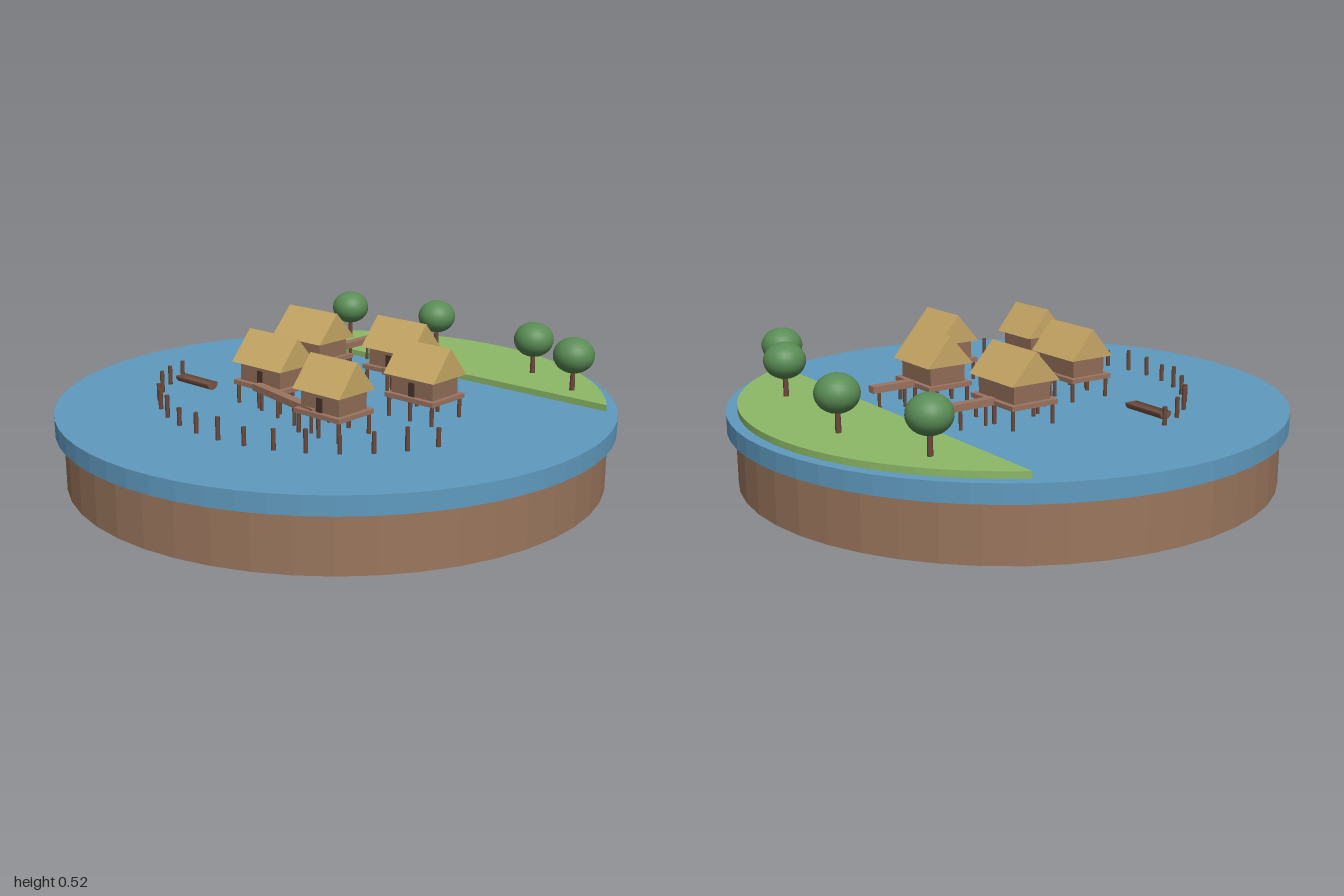
import * as THREE from 'three';

const flat = { flatShading: true };
const mat = (name, color, opts = {}) => {
  const m = new THREE.MeshStandardMaterial({ color, ...opts });
  m.name = name;
  return m;
};

const WATER_Y = 0.265;   // lake surface
const LAND_Y = 0.288;    // shore surface
const DECK_Y = 0.35;     // top of platforms
const TURN = -0.35;      // the village is turned to face away from the shore

export function createModel() {
  const model = new THREE.Group();
  model.name = 'lakeVillage';

  const M = {
    earth: mat('earth', 0x9a765d, flat),
    water: mat('water', 0x5f9abf, flat),
    grass: mat('grass', 0x8db968),
    thatch: mat('thatch', 0xc8a865),
    wall: mat('wallWood', 0x926d57),
    deck: mat('deckWood', 0x9c7460),
    post: mat('postWood', 0x6b4a3a),
    door: mat('doorWood', 0x46342b),
    hull: mat('hullWood', 0x7a5644, { side: THREE.DoubleSide }),
    leaf: mat('foliage', 0x5a8c55),
  };

  const add = (parent, name, geo, material, x = 0, y = 0, z = 0) => {
    const mesh = new THREE.Mesh(geo, material);
    mesh.name = name;
    mesh.position.set(x, y, z);
    parent.add(mesh);
    return mesh;
  };
  const box = (w, h, d) => new THREE.BoxGeometry(w, h, d);
  const post = (parent, name, x, z, top, r = 0.007) => {
    const h = top - WATER_Y;
    return add(parent, name, new THREE.CylinderGeometry(r, r, h, 8), M.post, x, WATER_Y + h / 2, z);
  };

  // Round base and lake
  add(model, 'earthBase', new THREE.CylinderGeometry(0.97, 0.97, 0.2, 48), M.earth, 0, 0.1, 0);
  add(model, 'lake', new THREE.CylinderGeometry(1, 1, WATER_Y - 0.2, 64), M.water, 0, (WATER_Y + 0.2) / 2, 0);

  // Shore: circle segment cut by a straight edge
  const shore = new THREE.Shape();
  shore.absarc(0, 0, 0.96, 0.206, 2.246, false);
  shore.closePath();
  const shoreGeo = new THREE.ExtrudeGeometry(shore, {
    depth: LAND_Y - WATER_Y, bevelEnabled: false, curveSegments: 20,
  }).rotateX(-Math.PI / 2);
  add(model, 'shore', shoreGeo, M.grass, 0, WATER_Y, 0);

  // Trees
  const crown = new THREE.SphereGeometry(0.075, 24, 16).scale(1, 0.87, 1);
  const trunk = new THREE.CylinderGeometry(0.008, 0.01, 0.1, 8);
  for (const [x, z] of [[-0.267, -0.8], [0.128, -0.767], [0.594, -0.524], [0.786, -0.342]]) {
    const tree = new THREE.Group();
    tree.name = 'tree';
    tree.position.set(x, LAND_Y, z);
    add(tree, 'trunk', trunk, M.post, 0, 0.05, 0);
    add(tree, 'crown', crown, M.leaf, 0, 0.13, 0);
    model.add(tree);
  }

  // Stilt houses; l and w are the roof's length and width
  const house = ([x, z, l, w]) => {
    const g = new THREE.Group();
    g.name = 'stiltHouse';
    g.position.set(x, 0, z);
    g.rotation.y = TURN;
    add(g, 'platform', box(l * 0.97, 0.016, w * 0.97), M.deck, 0, DECK_Y - 0.008, 0);
    const wallH = 0.072;
    add(g, 'walls', box(l * 0.82, wallH, w * 0.76), M.wall, 0, DECK_Y + wallH / 2, 0);
    add(g, 'door', box(0.024, 0.048, 0.006), M.door, 0, DECK_Y + 0.024, w * 0.38 + 0.002);
    const gable = new THREE.Shape();
    gable.moveTo(-w / 2, 0);
    gable.lineTo(w / 2, 0);
    gable.lineTo(0, 0.106);
    gable.closePath();
    const roof = new THREE.ExtrudeGeometry(gable, { depth: l, bevelEnabled: false });
    roof.translate(0, 0, -l / 2).rotateY(Math.PI / 2);
    add(g, 'roof', roof, M.thatch, 0, 0.416, 0);
    for (const px of [-0.43, 0, 0.43])
      for (const pz of [-0.42, 0.42]) post(g, 'stilt', px * l, pz * w, DECK_Y - 0.016);
    model.add(g);
  };
  const houses = [
    [-0.203, -0.26, 0.249, 0.193],
    [0.17, -0.22, 0.232, 0.183],
    [0.37, 0.1, 0.217, 0.18],
    [-0.17, 0.16, 0.24, 0.18],
    [0.155, 0.39, 0.208, 0.175],
  ];
  houses.forEach(house);

  // Walkways, each a plank on posts between two points
  const walkway = (x1, z1, x2, z2) => {
    const len = Math.hypot(x2 - x1, z2 - z1);
    const g = new THREE.Group();
    g.name = 'walkway';
    g.position.set((x1 + x2) / 2, 0, (z1 + z2) / 2);
    g.rotation.y = Math.atan2(x2 - x1, z2 - z1);
    add(g, 'planks', box(0.034, 0.024, len), M.deck, 0, 0.346, 0);
    const n = Math.max(2, Math.round(len / 0.1));
    for (let i = 0; i < n; i++)
      post(g, 'walkwayPost', 0, ((i + 0.5) / n - 0.5) * (len + 0.04), 0.336, 0.006);
    model.add(g);
  };
  walkway(-0.174, -0.34, -0.085, -0.585);
  walkway(0.2, -0.302, 0.255, -0.457);
  walkway(-0.236, -0.175, -0.14, 0.075);
  walkway(0.14, -0.135, 0.4, 0.015);
  walkway(-0.2, 0.24, 0.115, 0.44);

  // Arc of palisade stakes in the lake
  for (let i = 0; i < 16; i++) {
    const t = i / 15;
    const a = THREE.MathUtils.degToRad(182.6 - 145.4 * t);
    const r = 0.651 - 0.026 * Math.sin(Math.PI * t);
    post(model, 'stake', Math.cos(a) * r, Math.sin(a) * r, 0.328 + 0.008 * (i % 3), 0.008);
  }

  // Dugout canoe: open half cylinder with closed ends
  const canoe = new THREE.Group();
  canoe.name = 'canoe';
  canoe.position.set(-0.54, 0.291, 0.06);
  canoe.rotation.y = TURN;
  const R = 0.025, L = 0.18;
  const hull = new THREE.CylinderGeometry(R, R, L, 10, 1, true, -Math.PI / 2, Math.PI);
  hull.rotateX(Math.PI / 2).rotateY(Math.PI / 2);
  add(canoe, 'hull', hull, M.hull);
  const end = new THREE.CircleGeometry(R, 10, Math.PI, Math.PI).rotateY(Math.PI / 2);
  for (const s of [-1, 1]) add(canoe, 'hullEnd', end, M.hull, s * L / 2, 0, 0);
  model.add(canoe);

  return model;
}
